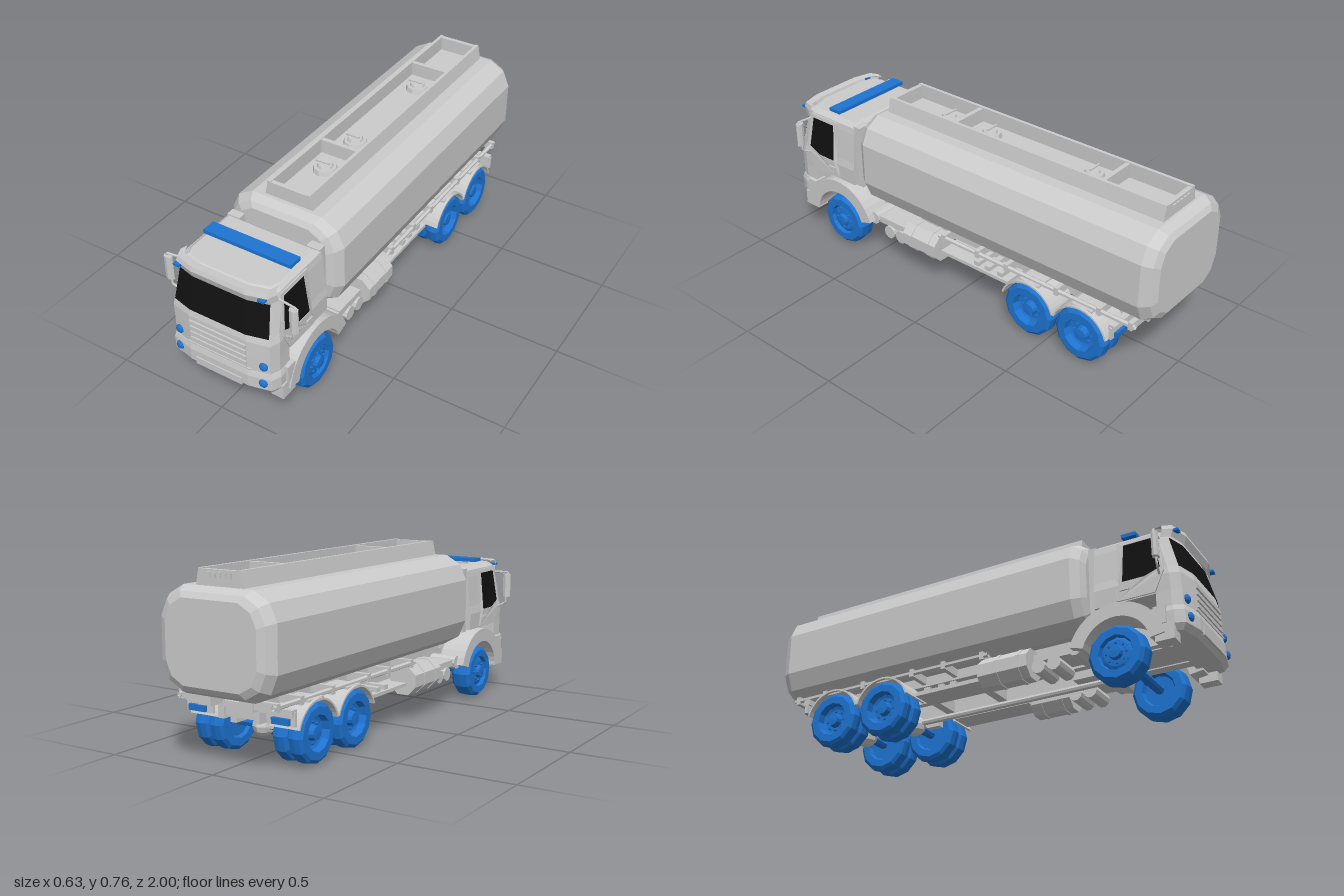
import * as THREE from 'three';

const material = (color) => new THREE.MeshStandardMaterial({ color, flatShading: true, side: THREE.DoubleSide });
const V = (x, y, z) => new THREE.Vector3(x, y, z);
const SIDES = [1, -1];

// Skin between equal-length rings; closed rings run counter-clockwise about the loft direction
function loft(rings, closed = true) {
  const n = rings[0].length, pos = [], idx = [];
  rings.forEach((r) => r.forEach((p) => pos.push(p.x, p.y, p.z)));
  for (let i = 0; i < rings.length - 1; i++) {
    for (let j = 0; j < (closed ? n : n - 1); j++) {
      const k = (j + 1) % n, a = i * n, b = a + n;
      idx.push(a + j, a + k, b + j, a + k, b + k, b + j);
    }
  }
  if (closed) {
    [0, rings.length - 1].forEach((i) => {
      const c = rings[i].reduce((s, p) => s.add(p), V(0, 0, 0)).divideScalar(n);
      const m = pos.push(c.x, c.y, c.z) / 3 - 1;
      for (let j = 0; j < n; j++) {
        const a = i * n + j, b = i * n + (j + 1) % n;
        idx.push(m, ...(i ? [a, b] : [b, a]));
      }
    });
  }
  const g = new THREE.BufferGeometry();
  g.setAttribute('position', new THREE.Float32BufferAttribute(pos, 3));
  g.setIndex(idx);
  g.computeVertexNormals();
  return g;
}

// Shape drawn in (z, y), extruded across x and centred on x
function sideExtrude(shape, width, x) {
  const g = new THREE.ExtrudeGeometry(shape, { depth: width, bevelEnabled: false, curveSegments: 8 });
  return g.translate(0, 0, -width / 2).rotateY(-Math.PI / 2).translate(x, 0, 0);
}

function archShape(z, y, rIn, rOut, a0, a1) {
  const s = new THREE.Shape();
  s.absarc(z, y, rOut, a0, a1, false);
  s.absarc(z, y, rIn, a1, a0, true);
  return s;
}

const polygon = (pts) => new THREE.Shape(pts.map(([a, b]) => new THREE.Vector2(a, b)));

// Cab half width and front position by height
const CAB = [[0.27, 0.243, 0.992], [0.34, 0.243, 0.992], [0.415, 0.246, 0.99], [0.45, 0.24, 0.982],
  [0.59, 0.227, 0.946], [0.62, 0.222, 0.937], [0.637, 0.2, 0.915]];
function cabAt(y) {
  let i = 0;
  while (i < CAB.length - 2 && y > CAB[i + 1][0]) i++;
  const [y0, w0, z0] = CAB[i], [y1, w1, z1] = CAB[i + 1], t = (y - y0) / (y1 - y0);
  return [w0 + (w1 - w0) * t, z0 + (z1 - z0) * t];
}
const frontCurve = (y, w, z) => [[-1, 0.07], [-0.93, 0.03], [-0.55, 0.008], [0.55, 0.008], [0.93, 0.03], [1, 0.07]]
  .map(([k, d]) => V(k * w, y, z - d));
const planRing = (y, w, z, back) => [...frontCurve(y, w, z), V(w, y, back), V(-w, y, back)];

export function createModel() {
  const model = new THREE.Group();
  const grey = material(0xcccccc), blue = material(0x1e74d2), black = material(0x111111);
  const add = (name, geo, mat = grey, parent = model) => {
    const m = new THREE.Mesh(geo, mat);
    m.name = name;
    parent.add(m);
    return m;
  };
  const box = (name, [x0, x1], [y0, y1], [z0, z1], mat = grey) => add(name,
    new THREE.BoxGeometry(Math.abs(x1 - x0), y1 - y0, Math.abs(z1 - z0))
      .translate((x0 + x1) / 2, (y0 + y1) / 2, (z0 + z1) / 2), mat);
  const rod = (name, pts, r, mat = grey, sides = 6) => {
    const path = new THREE.CurvePath();
    for (let i = 1; i < pts.length; i++) path.add(new THREE.LineCurve3(V(...pts[i - 1]), V(...pts[i])));
    return add(name, new THREE.TubeGeometry(path, (pts.length - 1) * 4, r, sides), mat);
  };

  // Cargo tank with chamfered ends
  const half = [[0.267, 0.4], [0.267, 0.59], [0.235, 0.66], [0.165, 0.7]];
  const section = [[0.165, 0.285], [0.235, 0.325], ...half];
  const outline = [...section, ...[...section].reverse().map(([x, y]) => [-x, y])];
  add('cargoTank', loft([[-1, 0.8], [-0.985, 0.91], [-0.945, 1], [0.505, 1], [0.54, 0.91], [0.555, 0.8]]
    .map(([z, s]) => outline.map(([x, y]) => V(x * s, 0.4925 + (y - 0.4925) * s, z)))));

  // Walkway tray and hatches on the tank
  for (const s of SIDES) {
    const wall = polygon([[0.115, 0.69], [0.1, 0.765], [0.085, 0.765], [0.085, 0.69]].map(([x, y]) => [x * s, y]));
    add('walkwaySide', new THREE.ExtrudeGeometry(wall, { depth: 1.425, bevelEnabled: false }).translate(0, 0, -0.935));
  }
  for (const z of [0.48, 0.12, -0.64, -0.925]) box('walkwayDivider', [-0.09, 0.09], [0.69, 0.762], [z - 0.01, z + 0.01]);
  for (const z of [0.23, 0, -0.53]) {
    add('hatch', new THREE.CylinderGeometry(0.048, 0.053, 0.02, 10).translate(0, 0.71, z));
    add('hatchLid', new THREE.CylinderGeometry(0.03, 0.035, 0.012, 10).translate(0, 0.726, z));
    box('hatchHandle', [-0.045, 0.02], [0.73, 0.738], [z - 0.004, z + 0.004]);
  }
  for (let i = -2; i <= 2; i++) box('rearVent', [i * 0.025 - 0.008, i * 0.025 + 0.008], [0.73, 0.752], [-0.942, -0.93]);

  // Cab shell, lower front and bumper
  add('cab', loft(CAB.slice(1).map(([y, w, z], i) => planRing(y, w, z, i === 5 ? 0.62 : 0.6))));
  add('lowerFront', loft([0.265, 0.34].map((y) => planRing(y, ...cabAt(y), 0.86))));
  add('bumper', loft([[0.17, 0.24, 0.982], [0.195, 0.25, 1], [0.25, 0.252, 1], [0.273, 0.246, 0.995]]
    .map(([y, w, z]) => planRing(y, w, z, 0.865))));
  add('windscreen', loft([0.446, 0.588].map((y) => {
    const [w, z] = cabAt(y);
    return frontCurve(y, w * 0.985, z + 0.004);
  }), false), black);
  add('sunVisor', loft([[0.592, 0.228, 0.957], [0.625, 0.227, 0.968], [0.645, 0.222, 0.962], [0.642, 0.215, 0.93]]
    .map(([y, w, z]) => frontCurve(y, w, z)), false));
  box('engineHousing', [-0.13, 0.13], [0.18, 0.35], [0.58, 0.88]);
  box('lightBar', [-0.205, 0.205], [0.65, 0.666], [0.712, 0.775], blue);
  box('lightBarFoot', [-0.15, 0.15], [0.63, 0.652], [0.73, 0.755]);
  for (const y of [0.39, 0.362, 0.334, 0.306]) box('grilleSlat', [-0.133, 0.133], [y - 0.008, y + 0.008], [0.97, 0.99]);
  box('grilleSill', [-0.15, 0.15], [0.277, 0.284], [0.96, 0.988]);
  box('bumperPlate', [-0.11, 0.11], [0.188, 0.222], [0.98, 0.997]);

  // Door frame and side glass follow the slope of the cab wall
  const doorPts = [[0.9, 0.43], [0.895, 0.5], [0.875, 0.615], [0.705, 0.615], [0.695, 0.345], [0.86, 0.345]];
  const glassPts = [[0.885, 0.45], [0.862, 0.598], [0.73, 0.598], [0.725, 0.425], [0.82, 0.425]];
  const doorShape = polygon(doorPts);
  doorShape.holes.push(new THREE.Path(glassPts.map(([a, b]) => new THREE.Vector2(a, b))));
  const onWall = (shape, thick, s) => {
    const g = sideExtrude(shape, thick, 0), p = g.attributes.position;
    for (let i = 0; i < p.count; i++) p.setX(i, p.getX(i) + s * cabAt(p.getY(i))[0]);
    return g;
  };

  for (const s of SIDES) {
    const X = (a, b) => [s * a, s * b];
    add('door', onWall(doorShape, 0.012, s));
    add('sideWindow', onWall(polygon(glassPts), 0.007, s), black);
    box('doorHandle', X(0.24, 0.256), [0.385, 0.395], [0.715, 0.755]);

    // Lamps
    for (const [y, z] of [[0.307, 0.969], [0.228, 0.977]]) {
      add('headlamp', new THREE.SphereGeometry(0.02, 10, 6).scale(1, 1, 0.7).translate(s * 0.2, y, z), blue);
    }
    box('markerLamp', X(0.18, 0.21), [0.615, 0.625], [0.935, 0.957], blue);
    box('tailLamp', X(0.16, 0.24), [0.19, 0.215], [-0.85, -0.835], blue);

    // Mirrors on bent arms
    add('mirror', new THREE.CylinderGeometry(0.5, 0.5, 0.11, 8).scale(0.04, 1, 0.03).translate(s * 0.293, 0.525, 0.89));
    rod('mirrorArm', [[0.22, 0.59, 0.88], [0.303, 0.59, 0.89], [0.303, 0.57, 0.89]].map(([x, y, z]) => [s * x, y, z]), 0.005);
    rod('mirrorArm', [[0.29, 0.48, 0.89], [0.288, 0.44, 0.89], [0.24, 0.415, 0.88]].map(([x, y, z]) => [s * x, y, z]), 0.005);

    // Front wheel arch, steps and column behind the cab
    add('frontFender', sideExtrude(archShape(0.69, 0.13, 0.145, 0.205, 0.15, 2.85), 0.125, s * 0.2025));
    box('cabStep', X(0.2, 0.257), [0.13, 0.2], [0.85, 0.93]);
    box('cabStep', X(0.2, 0.262), [0.2, 0.275], [0.85, 0.9]);
    box('intakeColumn', X(0.16, 0.22), [0.33, 0.63], [0.57, 0.607]);

    // Chassis, tank bearers and running rail
    box('chassisRail', X(0.07, 0.1), [0.175, 0.245], [-0.84, 0.9]);
    box('tankBearer', X(0.07, 0.13), [0.24, 0.3], [-0.92, 0.5]);
    rod('sideRail', [[s * 0.225, 0.268, 0.1], [s * 0.225, 0.268, -0.92]], 0.011);
    for (const z of [0.07, -0.12, -0.28, -0.54, -0.75, -0.9]) box('railBracket', X(0.1, 0.235), [0.25, 0.285], [z - 0.01, z + 0.01]);

    // Fuel tank with straps
    const length = s > 0 ? 0.19 : 0.23;
    const drum = (r, l, z) => new THREE.CylinderGeometry(r, r, l, 8).rotateY(Math.PI / 8).rotateX(Math.PI / 2).translate(s * 0.19, 0.19, z);
    add('fuelTank', drum(0.07, length, 0.295 - length / 2));
    for (const z of [0.25, 0.15]) add('fuelTankStrap', drum(0.073, 0.015, z));

    // Air reservoirs and valve brackets
    for (const [z, y] of [[0.5, 0.2], [0.405, 0.16], [0.335, 0.16]]) {
      add('airReservoir', new THREE.CylinderGeometry(0.031, 0.031, 0.13, 10).rotateZ(Math.PI / 2).translate(s * 0.165, y, z));
    }
    box('reservoirShelf', X(0.09, 0.22), [0.185, 0.215], [0.31, 0.53]);
    for (const z of [-0.09, -0.15, -0.22]) box('valveBracket', X(0.1, 0.2), [0.165, 0.2], [z - 0.014, z + 0.014]);
    box('equipmentBar', X(0.1, 0.21), [0.165, 0.18], [-0.27, 0.11]);

    // Rear mudguards
    for (const z of [-0.415, -0.68]) {
      add('rearMudguard', sideExtrude(archShape(z, 0.127, 0.131, 0.139, 0.3, 2.84), 0.14, s * 0.193));
      box('mudguardStay', X(0.1, 0.25), [0.25, 0.265], [z - 0.05, z + 0.05]);
    }
    box('mudFlap', X(0.13, 0.26), [0.185, 0.24], [-0.835, -0.822]);
  }
  box('rearBumper', [-0.255, 0.255], [0.225, 0.25], [-0.845, -0.815]);
  for (const z of [0.45, 0, -0.27, -0.55, -0.81]) box('crossMember', [-0.08, 0.08], [0.185, 0.235], [z - 0.02, z + 0.02]);
  box('cabRearPanel', [-0.11, 0.11], [0.3, 0.58], [0.58, 0.605]);

  // Wheels: profile as radius, axial position
  const tyre = (w) => [[0, -w * 0.6], [0.066, -w * 0.6], [0.074, -w], [0.106, -w], [0.12, -w * 0.7],
    [0.124, 0], [0.12, w * 0.7], [0.106, w], [0.074, w]];
  const wheel = (s, x, z, w, hub) => {
    const g = new THREE.Group();
    g.name = 'wheel';
    const pts = [...tyre(w), ...hub].map(([r, a]) => new THREE.Vector2(r, a));
    add('tyreAndRim', new THREE.LatheGeometry(pts, 12).rotateZ(-Math.PI / 2), blue, g);
    for (let i = 0; i < 8; i++) {
      const a = i * Math.PI / 4;
      add('wheelNut', new THREE.CylinderGeometry(0.005, 0.005, 0.012, 5).rotateZ(Math.PI / 2)
        .translate(hub[1][1] + 0.004, Math.cos(a) * 0.043, Math.sin(a) * 0.043), blue, g);
    }
    g.position.set(s * x, 0.128, z);
    if (s < 0) g.rotation.y = Math.PI;
    model.add(g);
  };
  const frontHub = [[0.068, 0.03], [0.055, 0.036], [0.03, 0.038], [0.026, 0.056], [0, 0.058]];
  const rearHub = [[0.068, 0.005], [0.055, 0], [0.032, 0], [0.027, 0.026], [0, 0.028]];
  for (const s of SIDES) {
    wheel(s, 0.21, 0.685, 0.047, frontHub);
    for (const z of [-0.415, -0.68]) for (const x of [0.226, 0.154]) wheel(s, x, z, 0.034, rearHub);
  }

  // Axles, differentials and drive shaft
  for (const z of [0.685, -0.415, -0.68]) rod('axle', [[-0.18, 0.13, z], [0.18, 0.13, z]], 0.02, blue, 8);
  for (const z of [-0.415, -0.68]) {
    add('differential', new THREE.SphereGeometry(0.046, 8, 6).scale(1, 1, 1.15).translate(0, 0.127, z));
    for (const s of SIDES) box('leafSpring', [s * 0.075, s * 0.105], [0.14, 0.18], [z - 0.08, z + 0.08]);
  }
  rod('driveShaft', [[0, 0.135, 0.6], [0, 0.135, -0.66]], 0.014, grey, 8);
  box('gearbox', [-0.05, 0.05], [0.15, 0.24], [0.4, 0.62]);
  return model;
}
